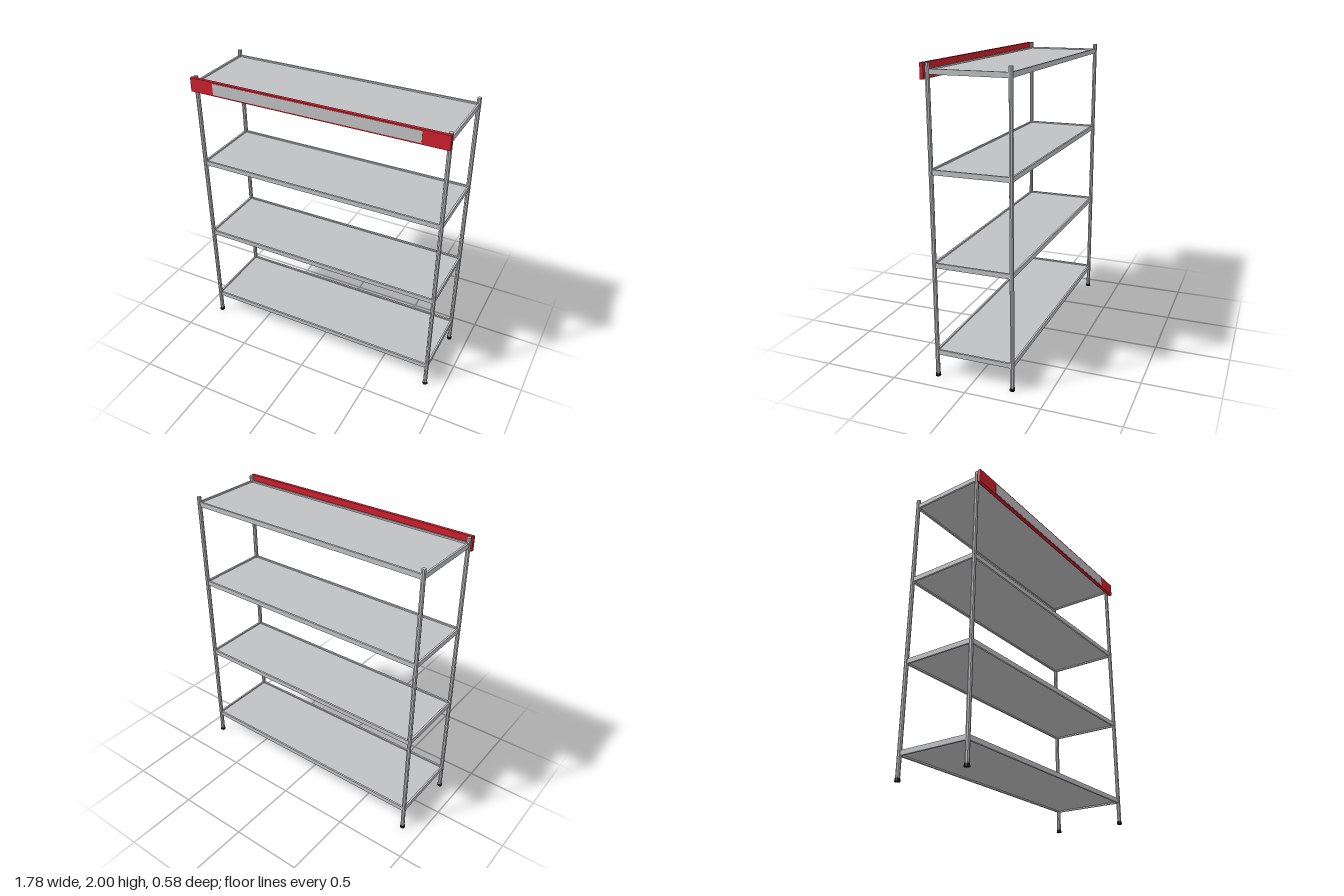
import * as THREE from 'three';

const steel = new THREE.MeshStandardMaterial({ name: 'steelGrey', color: 0xc0c1c3, flatShading: true });
const red = new THREE.MeshStandardMaterial({ name: 'signRed', color: 0xcc1f2b });
const black = new THREE.MeshStandardMaterial({ name: 'footBlack', color: 0x1c1d1e, flatShading: true });

const POST_X = 0.87, FRONT_Z = 0.247, BACK_Z = -0.268;
const MID_Z = (FRONT_Z + BACK_Z) / 2, DEPTH = FRONT_Z - BACK_Z;

function add(parent, name, geometry, material, x, y, z) {
  const mesh = new THREE.Mesh(geometry, material);
  mesh.name = name;
  mesh.position.set(x, y, z);
  parent.add(mesh);
  return mesh;
}

// Shelf: an upright rim around a thin recessed panel
function createShelf(y) {
  const shelf = new THREE.Group();
  shelf.name = 'shelf';
  shelf.position.set(0, y, MID_Z);
  const h = 0.032, t = 0.013;
  add(shelf, 'panel', new THREE.BoxGeometry(POST_X * 2 - t, 0.012, DEPTH - t), steel, 0, 0, 0);
  for (const s of [-1, 1]) {
    add(shelf, 'longRail', new THREE.BoxGeometry(POST_X * 2 + t, h, t), steel, 0, 0, s * DEPTH / 2);
    add(shelf, 'endRail', new THREE.BoxGeometry(t, h, DEPTH - t), steel, s * POST_X, 0, 0);
  }
  return shelf;
}

export function createModel() {
  const model = new THREE.Group();
  model.name = 'shelfRack';

  // Corner posts on rubber feet
  const postGeometry = new THREE.CylinderGeometry(0.0145, 0.0145, 1.985, 8);
  const footGeometry = new THREE.CylinderGeometry(0.0165, 0.0185, 0.02, 8);
  for (const x of [-POST_X, POST_X]) {
    for (const z of [FRONT_Z, BACK_Z]) {
      add(model, 'post', postGeometry, steel, x, 1.0075, z);
      add(model, 'foot', footGeometry, black, x, 0.01, z);
    }
  }

  // Four evenly spaced shelves
  for (let i = 0; i < 4; i++) model.add(createShelf(0.17 + i * 0.593));

  // Header board with a plain label panel on its front
  add(model, 'headerBoard', new THREE.BoxGeometry(1.773, 0.096, 0.022), red, 0, 1.952, 0.277);
  add(model, 'labelPanel', new THREE.BoxGeometry(1.43, 0.077, 0.002), steel, 0, 1.952, 0.2885);

  return model;
}
